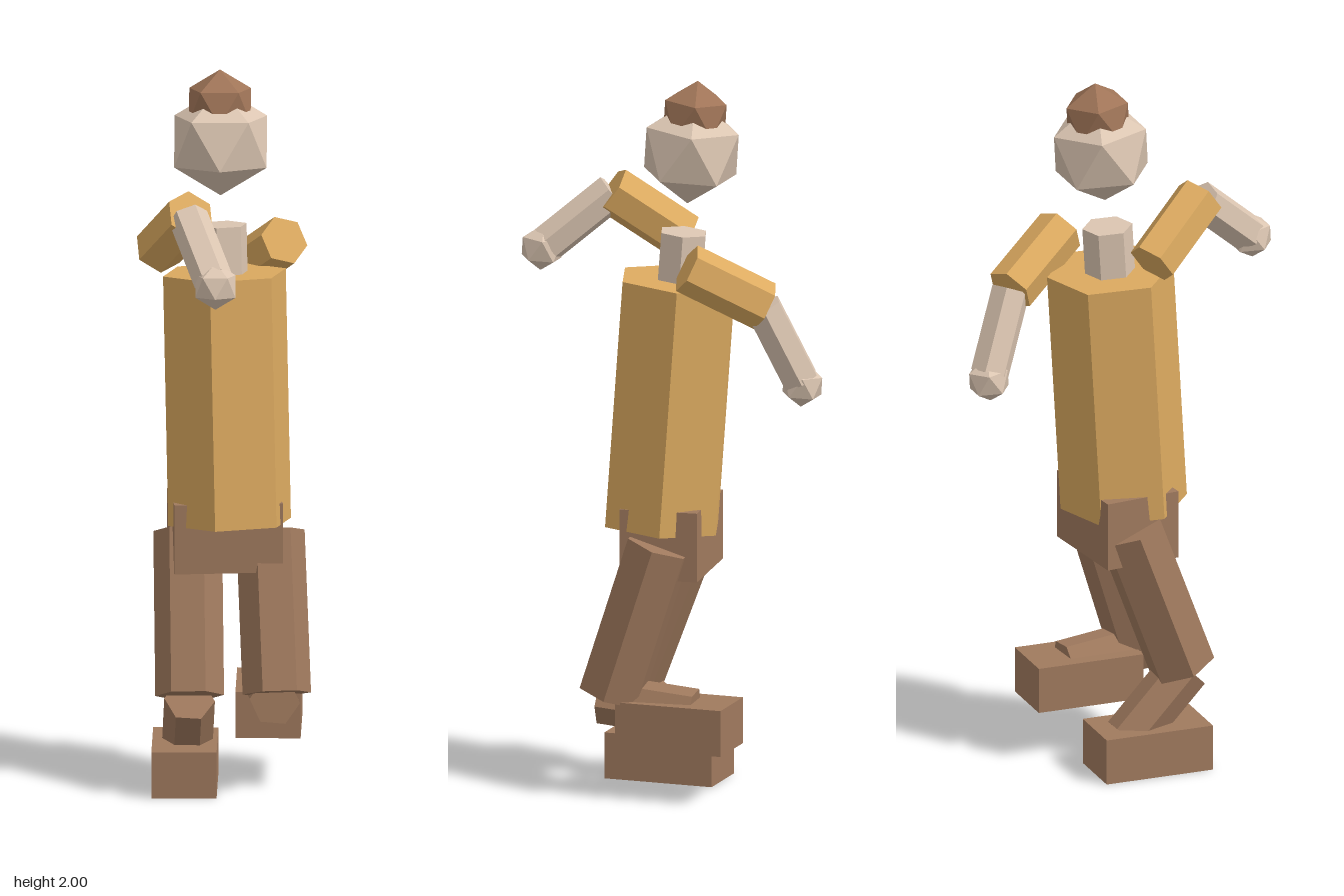
import * as THREE from 'three';

const mat = (name, color) => {
  const m = new THREE.MeshStandardMaterial({ color, flatShading: true });
  m.name = name;
  return m;
};

export function createModel() {
  const group = new THREE.Group();
  const skin = mat('skin', 0xdcc6b2);
  const shirt = mat('shirt', 0xdcaa60);
  const brown = mat('brown', 0xa07a5e);
  const hairBrown = mat('hairBrown', 0xa07558);
  const up = new THREE.Vector3(0, 1, 0);

  const add = (name, geometry, material, position) => {
    const mesh = new THREE.Mesh(geometry, material);
    mesh.name = name;
    mesh.position.set(...position);
    group.add(mesh);
    return mesh;
  };

  // Six-sided prism running from a to b, turned about its own axis by roll
  const limb = (name, a, b, radius, roll, material) => {
    const start = new THREE.Vector3(...a), end = new THREE.Vector3(...b);
    const dir = end.clone().sub(start);
    const geo = new THREE.CylinderGeometry(radius, radius, dir.length(), 6).rotateY(roll);
    const mid = start.add(end).multiplyScalar(0.5);
    const mesh = add(name, geo, material, mid.toArray());
    mesh.quaternion.setFromUnitVectors(up, dir.normalize());
  };

  // Icosahedron with a corner at the top, leaning slightly back
  const ball = (name, position, radius, material) => {
    const geo = new THREE.IcosahedronGeometry(radius, 0)
      .rotateX(-Math.atan((1 + Math.sqrt(5)) / 2)).rotateY(Math.PI).rotateX(-0.08);
    add(name, geo, material, position);
  };

  const box = (name, size, position, yaw = 0) => {
    add(name, new THREE.BoxGeometry(...size), brown, position).rotation.y = yaw;
  };

  // Head and hair
  ball('head', [-0.013, 1.8, -0.058], 0.15, skin);
  ball('hair', [-0.015, 1.9, -0.068], 0.1, hairBrown);

  // Trunk
  limb('neck', [-0.004, 1.38, -0.024], [-0.008, 1.57, -0.037], 0.07, -0.21, skin);
  limb('torso', [0.013, 0.742, 0.02], [-0.002, 1.437, -0.026], 0.177, -0.21, shirt);
  box('pelvis', [0.3, 0.195, 0.22], [0, 0.713, -0.003], 0.11);

  // Right arm, raised forward
  limb('rightUpperArm', [-0.183, 1.513, 0.026], [-0.091, 1.653, 0.206], 0.07, 0.3, shirt);
  limb('rightForearm', [-0.098, 1.645, 0.205], [-0.025, 1.5, 0.37], 0.055, 0.3, skin);
  ball('rightHand', [-0.02, 1.49, 0.383], 0.065, skin);

  // Left arm, swung back
  limb('leftUpperArm', [0.162, 1.51, -0.109], [0.058, 1.395, -0.299], 0.07, 0.3, shirt);
  limb('leftForearm', [0.062, 1.395, -0.295], [0, 1.18, -0.383], 0.055, 0.3, skin);
  ball('leftHand', [-0.005, 1.166, -0.387], 0.063, skin);

  // Right leg, standing
  limb('rightThigh', [-0.095, 0.28, 0.15], [-0.103, 0.71, -0.012], 0.095, 0.5, brown);
  limb('rightShin', [-0.105, 0.09, -0.015], [-0.095, 0.27, 0.16], 0.07, 0.5, brown);
  box('rightFoot', [0.18, 0.13, 0.315], [-0.11, 0.065, 0.043]);

  // Left leg, lifted with the shin folded back
  limb('leftThigh', [0.145, 0.28, 0.12], [0.125, 0.71, -0.015], 0.095, -0.4, brown);
  limb('leftShin', [0.12, 0.24, -0.115], [0.14, 0.265, 0.15], 0.07, 0.5, brown);
  box('leftFoot', [0.18, 0.13, 0.31], [0.12, 0.21, -0.07]);

  return group;
}
